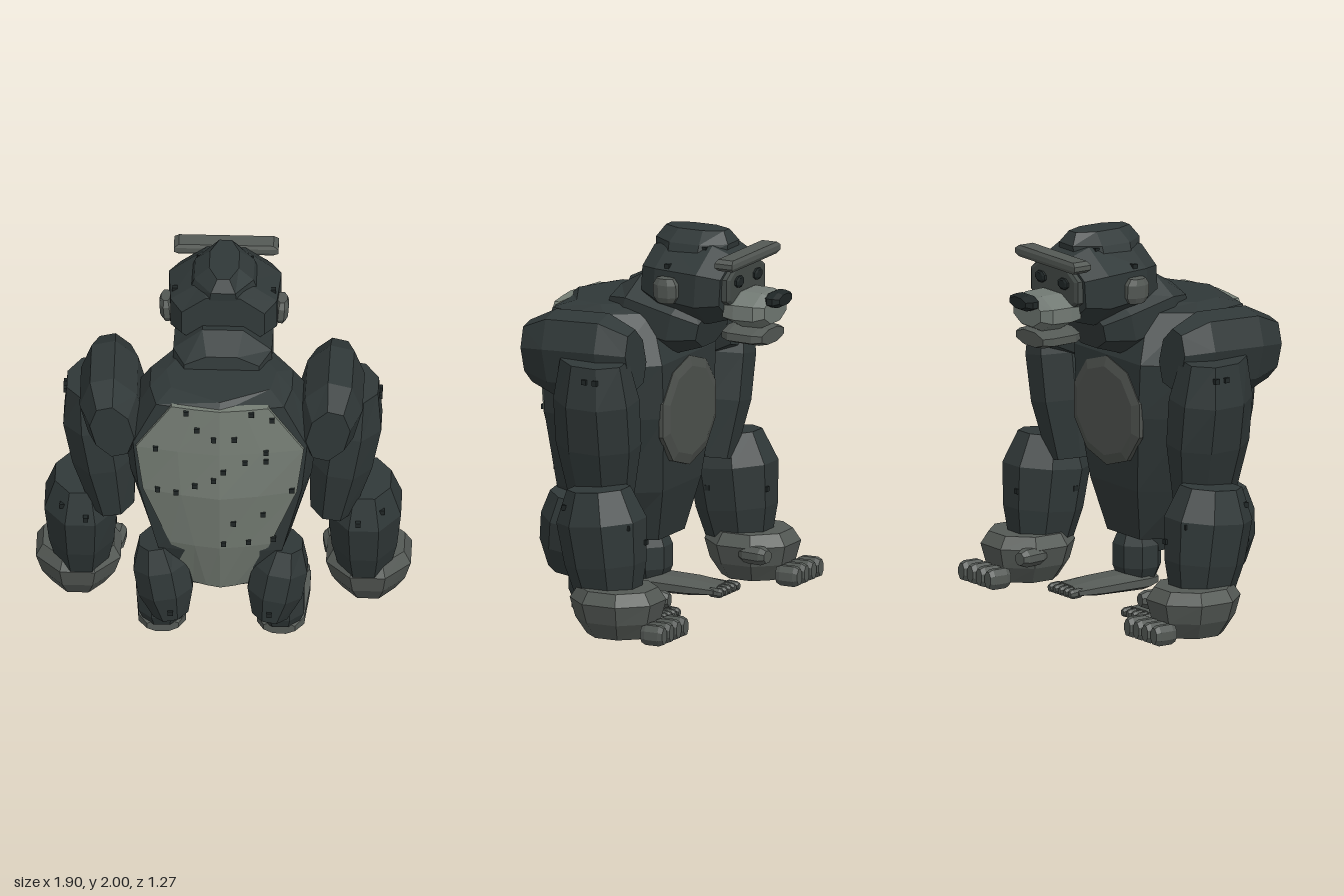
import * as THREE from 'three';

const mat = (name, color, side = THREE.FrontSide) => {
  const m = new THREE.MeshStandardMaterial({ color, side, flatShading: true });
  m.name = name;
  return m;
};
const V = (x, y, z) => new THREE.Vector3(x, y, z);

// Skin a list of rings (each counter-clockwise about the direction of travel), with end caps
function loft(rings) {
  const pos = [], n = rings[0].length;
  const tri = (...p) => p.forEach(q => pos.push(q.x, q.y, q.z));
  const mid = r => r.reduce((s, p) => s.add(p), V(0, 0, 0)).divideScalar(n);
  const first = rings[0], last = rings[rings.length - 1];
  for (let i = 0; i < n; i++) {
    const j = (i + 1) % n;
    for (let k = 0; k + 1 < rings.length; k++) {
      const a = rings[k], b = rings[k + 1];
      tri(a[i], a[j], b[j]);
      tri(a[i], b[j], b[i]);
    }
    tri(mid(first), first[j], first[i]);
    tri(mid(last), last[i], last[j]);
  }
  const g = new THREE.BufferGeometry();
  g.setAttribute('position', new THREE.Float32BufferAttribute(pos, 3));
  g.computeVertexNormals();
  return g;
}

// Faceted barrel from a to b; each ring is [t, half-width across x, half-depth]
function barrel(a, b, rings, n = 8) {
  const d = b.clone().sub(a).normalize();
  const u = V(1, 0, 0).addScaledVector(d, -d.x).normalize();
  const v = d.clone().cross(u);
  const k = 1 / Math.cos(Math.PI / n);
  return loft(rings.map(([t, ru, rv]) => Array.from({ length: n }, (_, i) => {
    const q = (i + 0.5) / n * Math.PI * 2;
    return a.clone().lerp(b, t).addScaledVector(u, Math.cos(q) * ru * k).addScaledVector(v, Math.sin(q) * rv * k);
  })));
}

// Barrel with bevelled ends
const pill = (a, b, ru, rv, bevel = 0.2, end = 0.7) =>
  barrel(a, b, [[0, ru * end, rv * end], [bevel, ru, rv], [1 - bevel, ru, rv], [1, ru * end, rv * end]]);

export function createModel() {
  const fur = mat('dark fur', 0x303838);
  const silver = mat('silver fur', 0x757d74, THREE.DoubleSide);
  const skin = mat('grey skin', 0x545955);
  const chestSkin = mat('chest skin', 0x4d514d);
  const muzzleSkin = mat('pale muzzle', 0x717973);
  const faceSkin = mat('face skin', 0x444a47);
  const black = mat('near black', 0x1f2626);

  const root = new THREE.Group();
  root.name = 'gorilla';
  const add = (name, geo, m, parent = root) => {
    const mesh = new THREE.Mesh(geo, m);
    mesh.name = name;
    parent.add(mesh);
    return mesh;
  };
  const stud = (x, y, z, parent = root) =>
    add('furTuft', new THREE.BoxGeometry(0.026, 0.026, 0.026), black, parent).position.set(x, y, z);

  // Torso with a ridged back: rows of height, half-width, back corner z, spine z, front z
  add('torso', loft([
    [0.38, 0.24, 0.43, 0.48, 0.02], [0.65, 0.35, 0.51, 0.56, -0.04], [1.05, 0.46, 0.53, 0.615, -0.08],
    [1.33, 0.49, 0.53, 0.6, -0.08], [1.575, 0.36, 0.53, 0.59, 0.02], [1.61, 0.28, 0.43, 0.55, 0.08],
  ].map(([y, w, b, c, f]) => [
    V(w * 0.9, y, b), V(w, y, b - 0.15), V(w, y, f + 0.2), V(w * 0.6, y, f),
    V(-w * 0.6, y, f), V(-w, y, f + 0.2), V(-w, y, b - 0.15), V(-w * 0.9, y, b), V(0, y, c),
  ])), fur);

  // Silver saddle: rows of height, half-width, edge z, crown z
  const saddle = [[0.39, 0.14, 0.455, 0.5], [0.7, 0.255, 0.53, 0.58], [1.05, 0.39, 0.548, 0.63],
    [1.32, 0.425, 0.55, 0.615], [1.585, 0.245, 0.56, 0.598]];
  const bulge = [0, 0.6, 1, 0.6, 0];
  add('silverBack', loft(saddle.map(([y, w, e, c]) => [
    ...bulge.map((h, i) => V(w * (i / 2 - 1), y, e + (c - e) * h)),
    V(w, y, e - 0.03), V(-w, y, e - 0.03),
  ])), silver);
  const saddleZ = (x, y) => {
    let i = 0;
    while (i < saddle.length - 2 && y > saddle[i + 1][0]) i++;
    const t = (y - saddle[i][0]) / (saddle[i + 1][0] - saddle[i][0]);
    const [, w, e, c] = saddle[i].map((s, k) => s + (saddle[i + 1][k] - s) * t);
    const s = Math.min(1, Math.abs(x) / w);
    return e + (c - e) * (s < 0.5 ? 1 - 0.8 * s : 1.2 * (1 - s));
  };
  [[-0.17, 1.56], [0.16, 1.56], [-0.115, 1.465], [-0.03, 1.415], [0.075, 1.415], [0.265, 1.515], [-0.325, 1.325],
    [0.235, 1.325], [0.13, 1.27], [0.235, 1.27], [0.02, 1.22], [-0.03, 1.165], [-0.125, 1.12], [-0.315, 1.065],
    [-0.22, 1.065], [0.365, 1.065], [0.07, 0.875], [0.22, 0.92], [0.02, 0.735], [0.145, 0.735], [0.27, 0.735],
  ].forEach(([x, y]) => stud(x, y, saddleZ(x, y)));

  // Bare chest
  add('chestPatch', barrel(V(0, 1.04, -0.06), V(0, 1.04, -0.1), [[0, 0.29, 0.27], [0.6, 0.29, 0.27], [1, 0.24, 0.22]], 10), chestSkin);

  // Neck
  add('neck', barrel(V(0, 1.6, 0.28), V(0, 1.49, -0.215),
    [[0, 0.19, 0.08], [0.22, 0.25, 0.18], [0.75, 0.25, 0.17], [1, 0.17, 0.1]]), fur);

  // Head
  const head = new THREE.Group();
  head.name = 'head';
  root.add(head);
  add('skull', barrel(V(0, 1.755, 0.08), V(0, 1.725, -0.375),
    [[0, 0.21, 0.15], [0.22, 0.27, 0.185], [0.75, 0.285, 0.205], [1, 0.23, 0.165]]), fur, head);
  add('crest', barrel(V(0, 1.88, -0.13), V(0, 2, -0.13),
    [[0, 0.17, 0.2], [0.5, 0.15, 0.205], [1, 0.075, 0.165]]), fur, head);
  add('face', pill(V(0, 1.735, -0.365), V(0, 1.735, -0.415), 0.21, 0.135, 0.2, 0.9), faceSkin, head);
  add('brow', barrel(V(0, 1.845, -0.415), V(0, 1.905, -0.415),
    [[0, 0.24, 0.04], [0.3, 0.265, 0.05], [0.7, 0.265, 0.05], [1, 0.24, 0.042]], 4), skin, head);
  add('muzzle', barrel(V(0, 1.62, -0.36), V(0, 1.618, -0.575),
    [[0, 0.17, 0.075], [0.3, 0.18, 0.092], [0.8, 0.17, 0.09], [1, 0.12, 0.068]]), muzzleSkin, head);
  add('jaw', pill(V(0, 1.485, -0.33), V(0, 1.48, -0.56), 0.15, 0.048, 0.2, 0.8), skin, head);
  add('nose', pill(V(0, 1.675, -0.55), V(0, 1.675, -0.633), 0.1, 0.04, 0.3, 0.7), black, head);

  // Paired parts, written for the +x side
  for (const s of [1, -1]) {
    const P = (x, y, z) => V(s * x, y, z);
    const side = new THREE.Group();
    side.name = s > 0 ? 'leftLimbs' : 'rightLimbs';
    root.add(side);

    add('eye', pill(P(0.1, 1.765, -0.4), P(0.1, 1.765, -0.432), 0.042, 0.028), black, head);
    add('ear', pill(P(0.285, 1.66, -0.1), P(0.295, 1.79, -0.1), 0.036, 0.065, 0.25), skin, head);

    // Arm
    const shoulder = add('shoulder', barrel(V(0, -0.01, 0.3), V(0, 0.01, -0.3),
      [[0, 0.1, 0.155], [0.25, 0.15, 0.22], [0.75, 0.15, 0.22], [1, 0.1, 0.15]]), fur, side);
    shoulder.position.set(s * 0.55, 1.405, 0.235);
    shoulder.rotation.z = -s * 0.25;
    add('upperArm', barrel(P(0.67, 1.42, 0.11), P(0.555, 0.67, 0.13),
      [[0, 0.12, 0.17], [0.28, 0.17, 0.21], [0.6, 0.16, 0.21], [1, 0.11, 0.16]]), fur, side);
    add('forearm', barrel(P(0.72, 0.77, 0.06), P(0.715, 0.22, 0.005),
      [[0, 0.13, 0.155], [0.3, 0.185, 0.22], [0.7, 0.165, 0.2], [1, 0.13, 0.16]]), fur, side);
    add('hand', barrel(P(0.735, 0.275, -0.06), P(0.735, 0.025, -0.06),
      [[0, 0.18, 0.19], [0.25, 0.215, 0.23], [0.65, 0.185, 0.205], [1, 0.13, 0.15]]), skin, side);
    add('thumb', pill(P(0.56, 0.18, -0.09), P(0.535, 0.18, -0.25), 0.045, 0.045), skin, side);
    for (let i = 0; i < 4; i++) {
      const x = 0.62 + i * 0.078;
      add('finger', pill(P(x, 0.073, -0.262), P(x, 0.073, -0.388), 0.033, 0.052, 0.2, 0.8), skin, side);
    }

    // Leg
    add('thigh', barrel(P(0.325, 0.62, 0.395), P(0.25, 0.21, 0.455),
      [[0, 0.09, 0.13], [0.3, 0.14, 0.165], [0.65, 0.14, 0.165], [1, 0.09, 0.12]]), fur, side);
    add('shin', pill(P(0.3, 0.3, 0.31), P(0.3, 0.07, 0.31), 0.12, 0.115, 0.25, 0.8), fur, side);
    add('foot', barrel(P(0.295, 0.055, 0.39), P(0.325, 0.045, -0.1),
      [[0, 0.08, 0.035], [0.15, 0.12, 0.05], [0.7, 0.125, 0.042], [1, 0.115, 0.026]]), skin, side);
    for (let i = 0; i < 5; i++) {
      const x = 0.235 + i * 0.045;
      add('toe', pill(P(x, 0.045, -0.07), P(x, 0.04, -0.15), 0.019, 0.024), skin, side);
    }

    // Scattered tufts
    [[0.795, 1.33, 0.1], [0.795, 1.33, 0.04], [0.81, 0.67, 0.205], [0.69, 0.63, 0.265], [0.55, 0.5, 0.1],
      [0.25, 0.29, 0.585], [0.25, 1.84, -0.09], [0.13, 1.92, -0.24], [0.8, 0.6, -0.15], [0.66, 0.5, -0.175],
    ].forEach(([x, y, z]) => stud(s * x, y, z, side));
  }
  return root;
}
